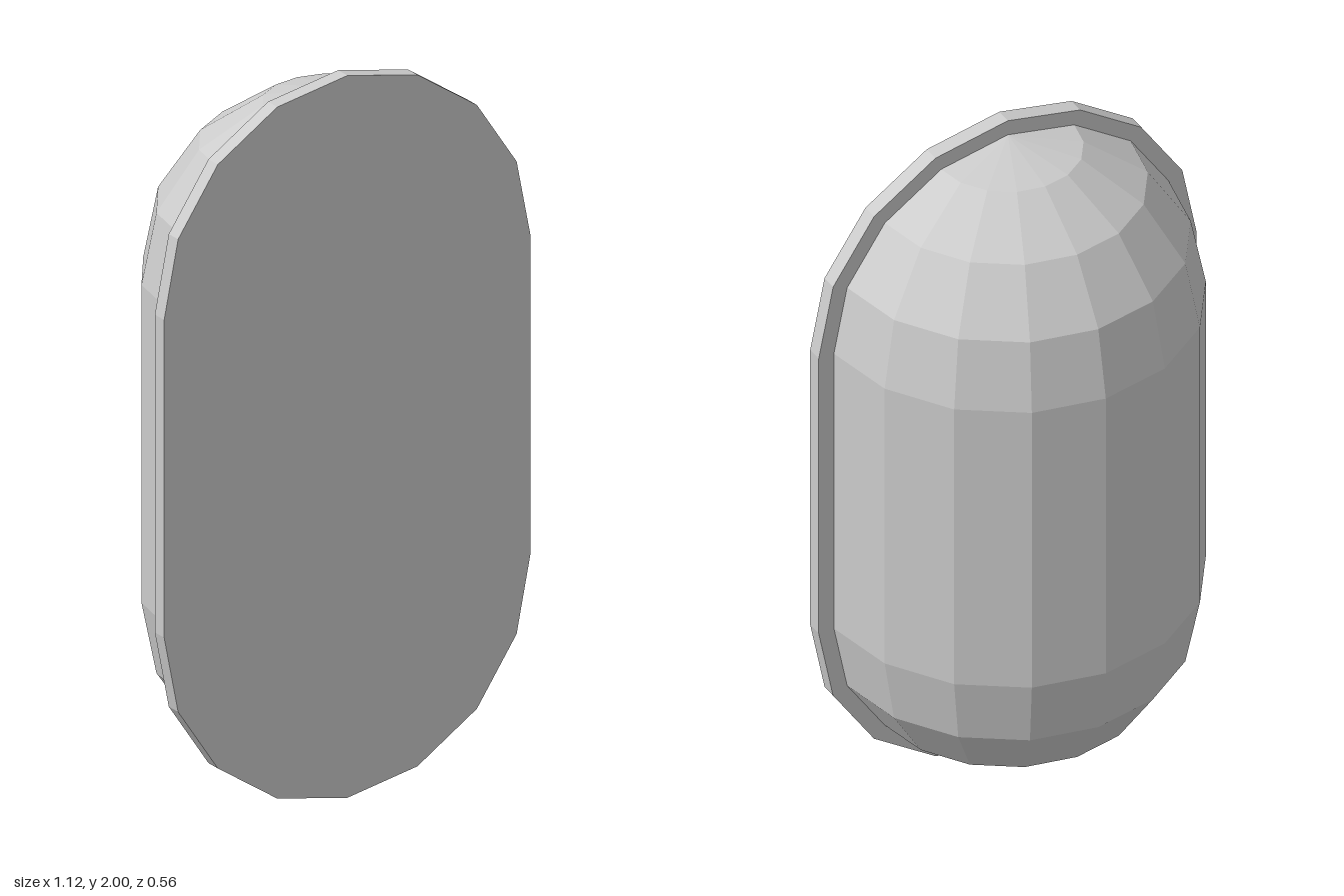
import * as THREE from 'three';

const LOW = 0.56, HIGH = 1.44; // centre heights of the two round ends
const PLATE_Z = 0.235, FRONT_Z = 0.28;
const STEPS = 4; // segments per quarter turn

// Right-hand half outline of a capsule, from bottom to top
function halfOutline(radius) {
  const points = [];
  for (const [centre, start] of [[LOW, -Math.PI / 2], [HIGH, 0]]) {
    for (let i = 0; i <= STEPS; i++) {
      const a = start + (i / STEPS) * Math.PI / 2;
      points.push(new THREE.Vector2(Math.max(0, radius * Math.cos(a)), centre + radius * Math.sin(a)));
    }
  }
  return points;
}

export function createModel() {
  const group = new THREE.Group();
  const material = new THREE.MeshStandardMaterial({ color: 0xcccccc, flatShading: true });

  // Flat front plate with rounded ends
  const right = halfOutline(0.56);
  const left = right.slice(1, -1).reverse().map(p => new THREE.Vector2(-p.x, p.y));
  const plate = new THREE.Mesh(
    new THREE.ExtrudeGeometry(new THREE.Shape([...right, ...left]), { depth: FRONT_Z - PLATE_Z, bevelEnabled: false }),
    material
  );
  plate.name = 'frontPlate';
  plate.position.z = PLATE_Z;
  group.add(plate);

  // Half capsule swelling out behind the plate
  const shell = new THREE.Mesh(
    new THREE.LatheGeometry(halfOutline(0.515), STEPS * 2, Math.PI / 2, Math.PI),
    material
  );
  shell.name = 'backShell';
  shell.position.z = PLATE_Z;
  group.add(shell);

  return group;
}
